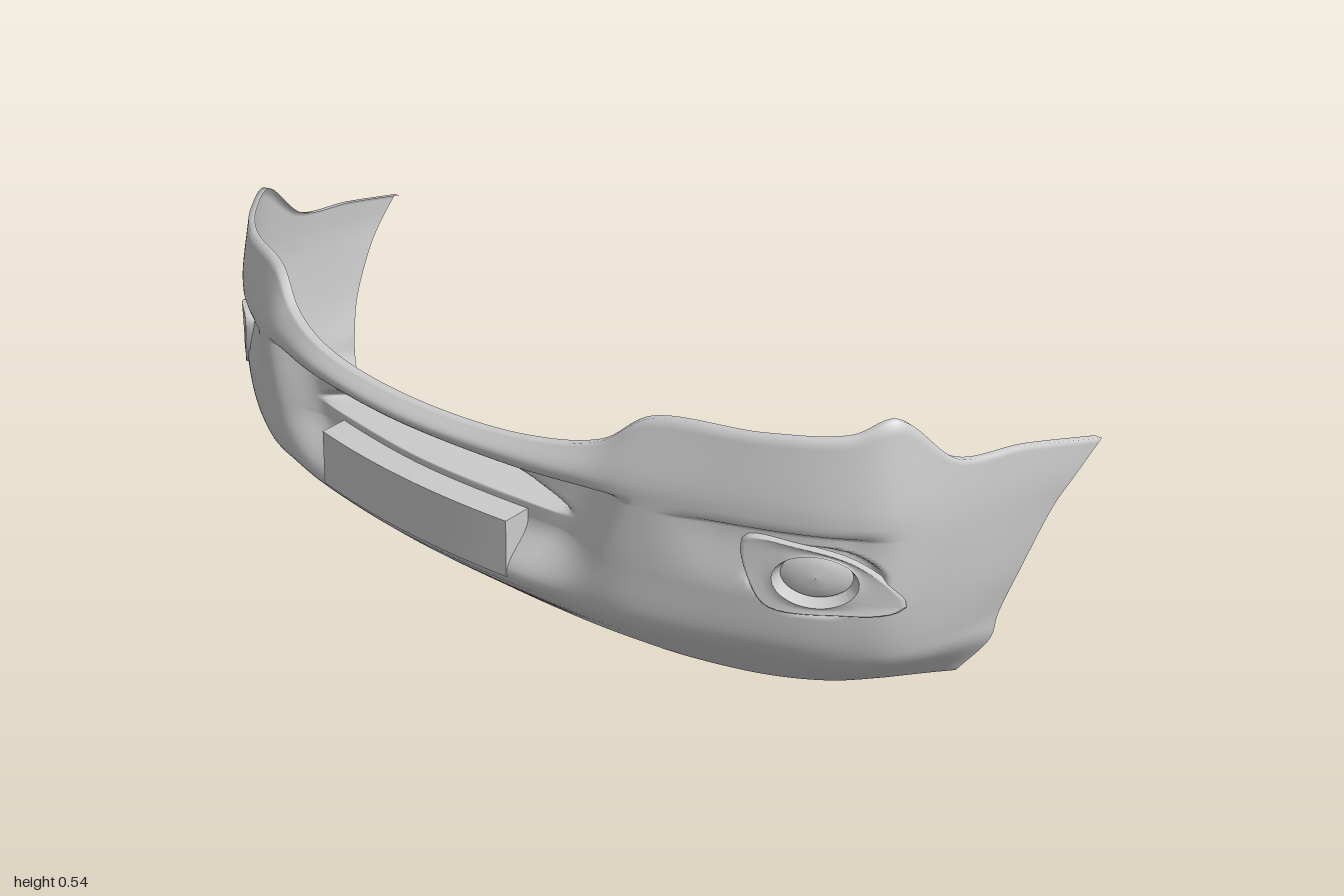
import * as THREE from 'three';

const mat = new THREE.MeshStandardMaterial({ color: 0xcccccc, side: THREE.DoubleSide });
const V = (x, y, z) => new THREE.Vector3(x, y, z);
const S = (a, b, x) => { // smooth ramp from 0 at a to 1 at b
  const k = Math.min(1, Math.max(0, (x - a) / (b - a)));
  return k * k * (3 - 2 * k);
};

// A rail runs round the whole bumper; only its left half is listed
function rail(...half) {
  const left = half.map(p => V(...p));
  const right = left.slice(1).reverse().map(p => V(-p.x, p.y, p.z));
  return new THREE.CatmullRomCurve3([...right, ...left]);
}
const top = rail([0, .39, .345], [.3, .4, .32], [.46, .43, .28], [.55, .49, .25], [.75, .503, .18],
  [.87, .515, .1], [.91, .54, .04], [.945, .457, -.07], [.97, .448, -.22], [1, .43, -.38]);
const belt = rail([0, .367, .372], [.3, .37, .345], [.45, .375, .31], [.55, .385, .283], [.75, .39, .2],
  [.87, .39, .125], [.925, .39, .06], [.948, .385, -.05], [.967, .385, -.18], [.99, .37, -.325]);
const brow = rail([0, .345, .365], [.3, .345, .34], [.45, .345, .307], [.55, .345, .284], [.75, .345, .2],
  [.87, .345, .125], [.925, .34, .06], [.947, .335, -.04], [.963, .33, -.16], [.98, .325, -.29]);
const mid = rail([0, .23, .362], [.3, .23, .338], [.45, .225, .307], [.55, .22, .285], [.75, .215, .2],
  [.865, .215, .125], [.918, .215, .06], [.938, .215, -.04], [.952, .215, -.14], [.962, .215, -.235]);
const low = rail([0, .13, .355], [.3, .13, .332], [.45, .13, .302], [.55, .13, .278], [.74, .13, .19],
  [.845, .13, .12], [.9, .13, .05], [.922, .13, -.03], [.935, .13, -.12], [.942, .13, -.21]);
const under = rail([0, .095, .32], [.3, .095, .3], [.45, .095, .275], [.55, .095, .25], [.73, .095, .165],
  [.83, .09, .1], [.885, .09, .03], [.91, .09, -.04], [.925, .09, -.12], [.935, .085, -.205]);
const bottom = rail([0, 0, .19], [.3, .002, .175], [.45, .005, .155], [.55, .008, .135], [.69, .013, .085],
  [.775, .014, .02], [.82, .013, -.05], [.845, .012, -.1], [.865, .01, -.145], [.885, .01, -.18]);
const rails = [top, belt, brow, mid, low, under, bottom];
const column = t => new THREE.CatmullRomCurve3(rails.map(r => r.getPoint(t)));

// Corner frame: outward normal and distance along the corner
const NX = 0.61, NZ = 0.79;
const along = p => (Math.abs(p.x) - 0.82) * NZ - (p.z - 0.1225) * NX;

// Presses the mouth, the air slot, the brow step and the lamp pockets into the skin
function carve(p) {
  const x = Math.abs(p.x), y = p.y, s = along(p), side = Math.sign(p.x);
  p.z -= 0.055 * S(.56, .4, x + (.345 - y) * .5) * S(.13, .23, y) * S(.352, .342, y);
  const arch = .342 - .07 * Math.pow(Math.min(1, x / .39), 3);
  const slot = S(.262, .272, y) * S(arch, arch - .045, y) * S(.4, .34, x);
  p.z += (.185 - p.z) * slot;
  const step = .014 * S(.348, .338, y) * S(.22, .33, y) * S(.58, .7, x) * S(.94, .88, x);
  const r = Math.hypot((s - .005) / .115, (y - .265) / .058);
  const press = p.z > -.05 && x > .55 ? step + .03 * S(1, .8, r) : 0;
  p.x -= side * NX * press;
  p.z -= NZ * press;
  return p;
}

// Grid of points (rows of equal length) to a smooth mesh
function skin(name, cols) {
  const n = cols[0].length, pos = [], idx = [];
  cols.forEach(c => c.forEach(p => pos.push(p.x, p.y, p.z)));
  for (let i = 0; i < cols.length - 1; i++) for (let j = 0; j < n - 1; j++) {
    const a = i * n + j, c = a + n;
    idx.push(a, a + 1, c, a + 1, c + 1, c);
  }
  const g = new THREE.BufferGeometry();
  g.setAttribute('position', new THREE.Float32BufferAttribute(pos, 3));
  g.setIndex(idx);
  g.computeVertexNormals();
  const m = new THREE.Mesh(g, mat);
  m.name = name;
  return m;
}

function bumperSkin() {
  const vs = [];
  [7, 5, 34, 9, 4, 8].forEach((n, k) => { for (let j = 0; j < n; j++) vs.push((k + j / n) / 6); });
  vs.push(1);
  const inward = p => V(p.x * .985, p.y, p.z - .015 * (1 - Math.pow(Math.abs(p.x), 4)));
  const cols = [];
  const N = 18 * 14;
  for (let i = 0; i <= N; i++) {
    const c = column(i / N);
    const pts = vs.map(v => carve(c.getPoint(v)));
    // folded edges at top and bottom
    cols.push([inward(pts[0]), ...pts, inward(pts[pts.length - 1])]);
  }
  return skin('bumperSkin', cols);
}

// Point of the uncarved skin at corner distance s and height y, moved out by off
function cornerPoint(s, y, off) {
  const at = t => {
    const c = column(t);
    let a = 0, b = 1;
    for (let k = 0; k < 16; k++) {
      const m = (a + b) / 2;
      if (c.getPoint(m).y > y) a = m; else b = m;
    }
    return c.getPoint(a);
  };
  let lo = .6, hi = 1;
  for (let k = 0; k < 16; k++) {
    const m = (lo + hi) / 2;
    if (along(at(m)) < s) lo = m; else hi = m;
  }
  return at(lo).add(V(NX * off, 0, NZ * off));
}

// Fog lamp bezel with its bowl and lens, as rings from the outline inward
function fogLamp() {
  const g = new THREE.Group();
  const outline = new THREE.CatmullRomCurve3([[.15, .214], [.12, .262], [.06, .305], [-.03, .325],
    [-.12, .325], [-.103, .245], [-.075, .211], [.04, .208]].map(p => V(p[0], p[1], 0)), true);
  const N = 48, cs = .002, cy = .265;
  const pts = outline.getSpacedPoints(N);
  const ring = (k, off, scale) => pts.map(p => {
    const a = Math.atan2((p.y - cy) / .06, (p.x - cs) / .13);
    const ex = cs + .072 * scale * Math.cos(a), ey = cy + .046 * scale * Math.sin(a);
    return cornerPoint(p.x + (ex - p.x) * k, p.y + (ey - p.y) * k, off);
  });
  g.add(skin('fogLampBezel', [ring(0, -.016, 1), ring(0, .004, 1), ring(.1, .005, 1), ring(.5, .001, 1),
    ring(.9, .003, 1), ring(1, .004, 1)]));
  g.add(skin('fogLampBowl', [ring(1, .004, 1), ring(1, -.008, .92), ring(1, -.026, .84)]));
  g.add(skin('fogLampLens', [ring(1, -.026, .84), ring(1, -.02, .78), ring(1, -.016, .4), ring(1, -.014, .01)]));
  return g;
}

// Plate mount: a bowed box whose top slopes up to the back
function plateMount() {
  const g = new THREE.BoxGeometry(.56, .108, .07, 14, 1, 1);
  const p = g.attributes.position;
  for (let i = 0; i < p.count; i++) {
    const x = p.getX(i), back = p.getZ(i) < 0;
    p.setZ(i, p.getZ(i) - .25 * x * x);
    if (back && p.getY(i) > 0) p.setY(i, p.getY(i) + .014);
  }
  g.computeVertexNormals();
  const m = new THREE.Mesh(g, mat);
  m.name = 'plateMount';
  m.position.set(0, .184, .322);
  return m;
}

export function createModel() {
  const model = new THREE.Group();
  model.name = 'frontBumper';
  model.add(bumperSkin(), plateMount());
  const left = fogLamp();
  left.name = 'leftFogLamp';
  const right = left.clone();
  right.name = 'rightFogLamp';
  right.scale.x = -1;
  model.add(left, right);
  return model;
}
